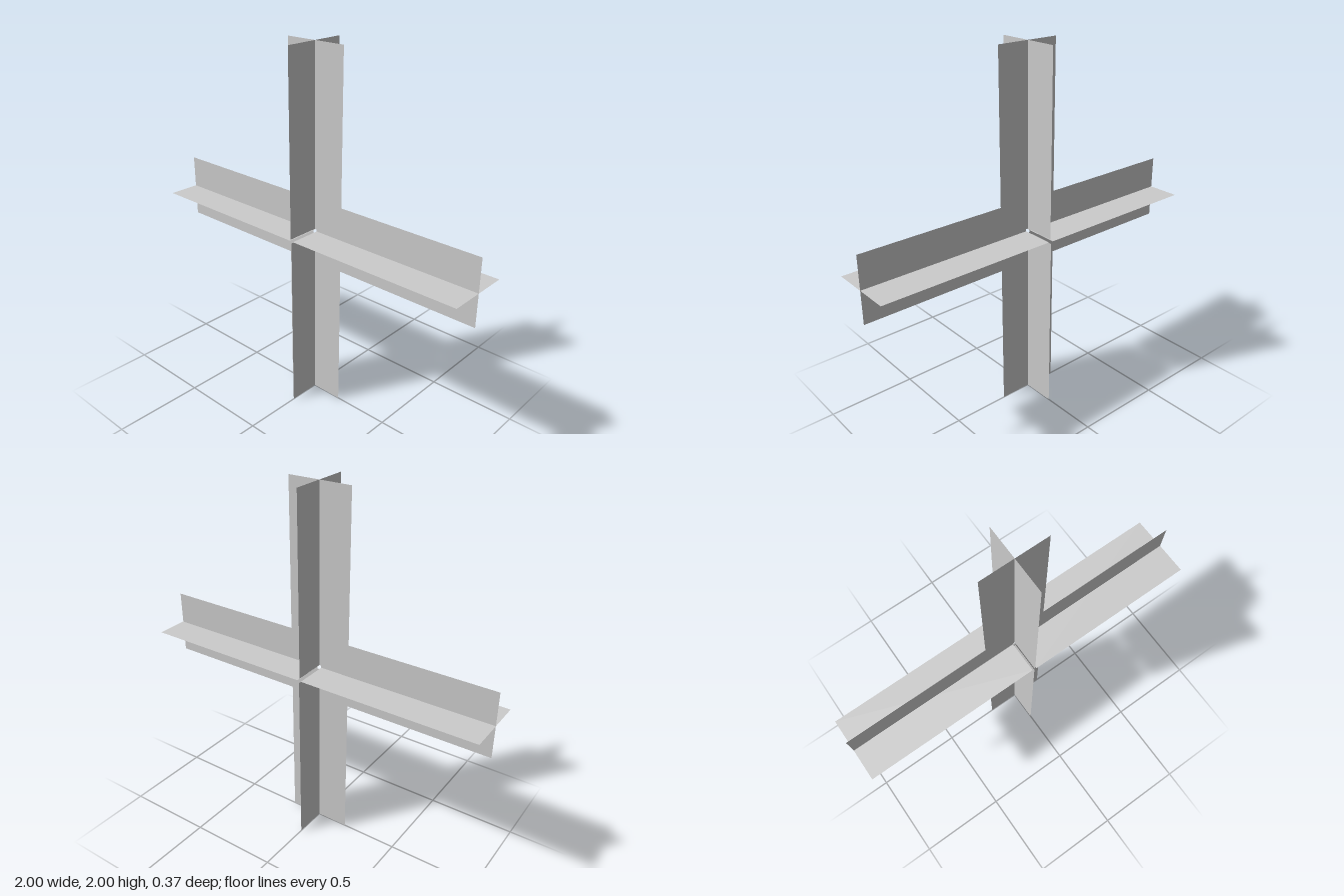
import * as THREE from 'three';

const WIDTH = 0.363; // blade width
const GAP = 0.012;   // small opening left at the centre
const LENGTH = 1 - GAP;

const material = new THREE.MeshStandardMaterial({ color: 0xcccccc, side: THREE.DoubleSide });

// One arm: two thin blades crossing along its length, pointing up before rotation
function createArm(name, angle, finShift) {
  const arm = new THREE.Group();
  arm.name = name;

  const blade = new THREE.PlaneGeometry(WIDTH, LENGTH).translate(0, GAP + LENGTH / 2, 0);

  const flatBlade = new THREE.Mesh(blade, material);
  flatBlade.name = 'flatBlade';

  const crossBlade = new THREE.Mesh(blade, material);
  crossBlade.name = 'crossBlade';
  crossBlade.rotation.y = Math.PI / 2;
  crossBlade.position.z = finShift;

  arm.add(flatBlade, crossBlade);
  arm.rotation.z = angle;
  arm.position.y = 1;
  return arm;
}

export function createModel() {
  const model = new THREE.Group();
  model.name = 'crossedBladeStar';

  // Four arms around the centre, each fin very slightly off the middle
  const arms = [
    ['topArm', 0, 0.003],
    ['rightArm', Math.PI / 2, -0.003],
    ['bottomArm', Math.PI, -0.002],
    ['leftArm', -Math.PI / 2, 0],
  ];
  for (const [name, angle, shift] of arms) model.add(createArm(name, angle, shift));

  return model;
}
